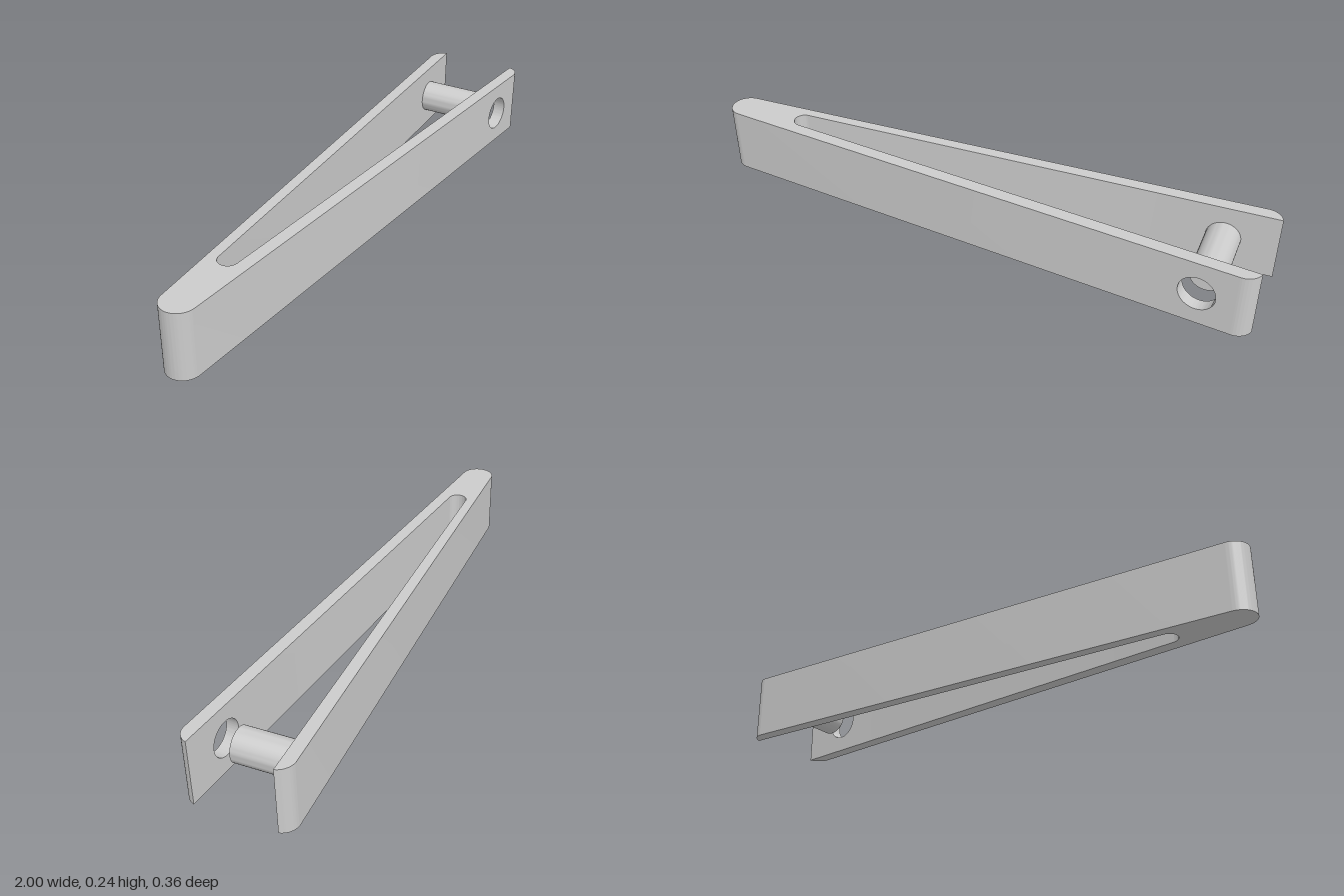
import * as THREE from 'three';
import { toCreasedNormals } from 'three/addons/utils/BufferGeometryUtils.js';

const HEIGHT = 0.236;
const FRONT = 0.182;        // outer z of the straight arm
const INNER = 0.137;        // inner z of the straight arm
const HOLE_FROM = 0.7, HOLE_TO = 0.944;
const rad = THREE.MathUtils.degToRad;

const material = new THREE.MeshStandardMaterial({ color: 0xcccccc });

function addMesh(group, name, geometry) {
  const mesh = new THREE.Mesh(toCreasedNormals(geometry, rad(30)), material);
  mesh.name = name;
  group.add(mesh);
  return mesh;
}

// Plan outline drawn in (x, -z), raised to the full height
function raise(shape) {
  return new THREE.ExtrudeGeometry(shape, { depth: HEIGHT, bevelEnabled: false, curveSegments: 24 })
    .rotateX(-Math.PI / 2);
}

export function createModel() {
  const group = new THREE.Group();
  group.name = 'hingedClip';

  // Rounded bend, slanted back arm and most of the straight front arm
  const body = new THREE.Shape();
  body.moveTo(HOLE_FROM, -FRONT);
  body.lineTo(-0.941, -FRONT);
  body.absarc(-0.941, -0.123, 0.059, rad(270), rad(97.5), true);
  body.absarc(0.929, 0.1275, 0.055, rad(97.5), rad(18), true);
  body.absarc(-0.706, -0.103, 0.034, rad(97.5), rad(270), false);
  body.lineTo(HOLE_FROM, -INNER);
  body.closePath();
  addMesh(group, 'springBody', raise(body));

  // Section of the front arm pierced by the round hole
  const plate = new THREE.Shape();
  plate.moveTo(HOLE_FROM, 0);
  plate.lineTo(HOLE_TO, 0);
  plate.lineTo(HOLE_TO, HEIGHT);
  plate.lineTo(HOLE_FROM, HEIGHT);
  plate.closePath();
  const hole = new THREE.Path();
  hole.absarc(0.82, HEIGHT / 2, 0.062, 0, Math.PI * 2, true);
  plate.holes.push(hole);
  const plateGeometry = new THREE.ExtrudeGeometry(plate, {
    depth: FRONT - INNER, bevelEnabled: false, curveSegments: 48,
  }).translate(0, 0, INNER);
  addMesh(group, 'frontArmHolePlate', plateGeometry);

  // Rounded tip of the front arm
  const tip = new THREE.Shape();
  tip.moveTo(HOLE_TO, -INNER);
  tip.lineTo(HOLE_TO, -FRONT);
  tip.absarc(0.945, -0.127, 0.055, rad(-90), rad(-10.5), false);
  tip.closePath();
  addMesh(group, 'frontArmTip', raise(tip));

  // Pin standing on the back arm, leaning slightly toward the tip
  const start = new THREE.Vector3(0.802, HEIGHT / 2, -0.14);
  const end = new THREE.Vector3(0.823, HEIGHT / 2, 0.088);
  const axis = end.clone().sub(start);
  const pin = addMesh(group, 'pin', new THREE.CylinderGeometry(0.0585, 0.0585, axis.length(), 48));
  pin.position.copy(start).add(end).multiplyScalar(0.5);
  pin.quaternion.setFromUnitVectors(new THREE.Vector3(0, 1, 0), axis.normalize());

  return group;
}
